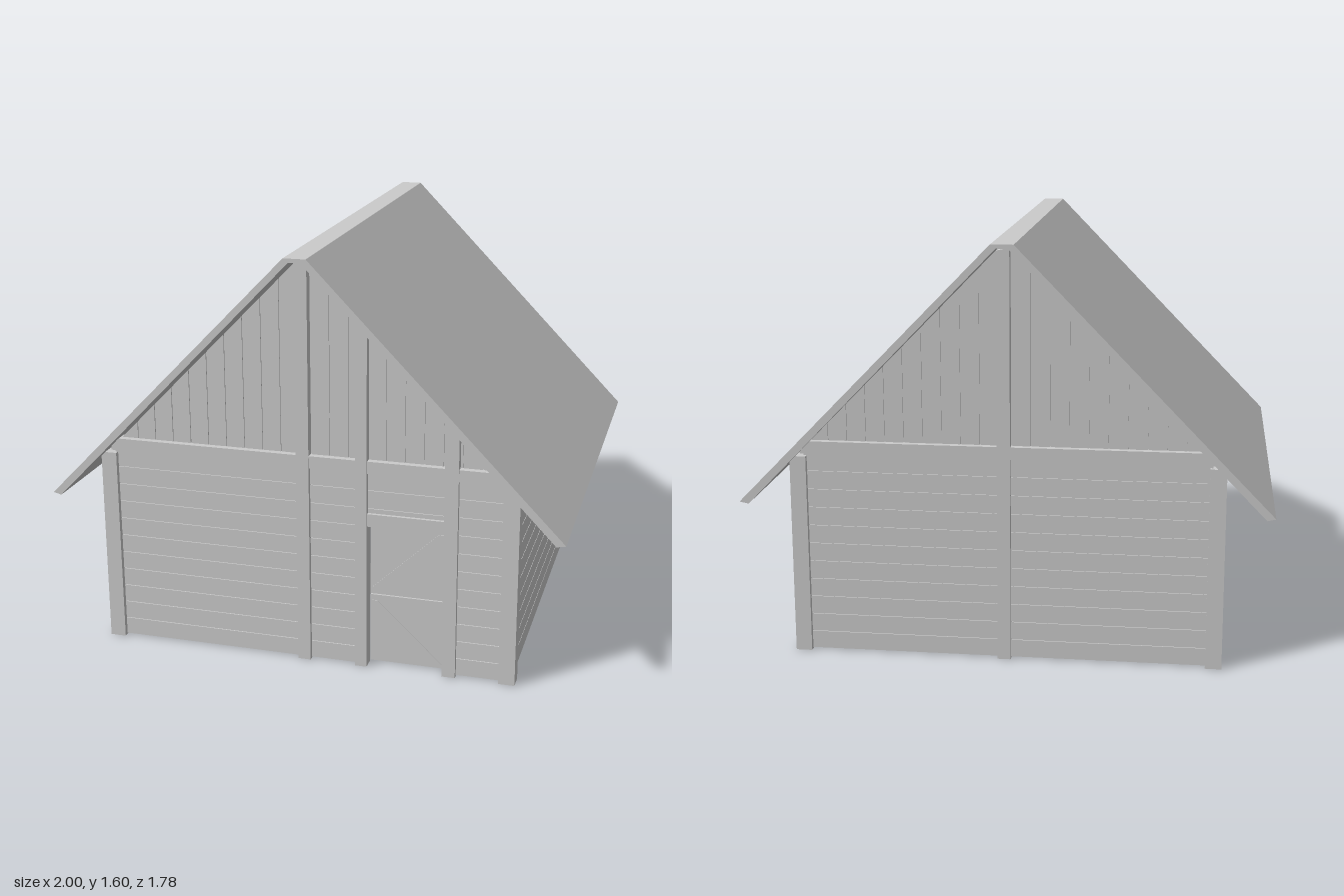
import * as THREE from 'three';

export function createModel() {
  const root = new THREE.Group();
  const mat = new THREE.MeshStandardMaterial({ color: 0xcccccc, flatShading: true });

  const add = (parent, name, geo) => {
    const mesh = new THREE.Mesh(geo, mat);
    mesh.name = name;
    parent.add(mesh);
    return mesh;
  };
  const group = (name) => {
    const g = new THREE.Group();
    g.name = name;
    root.add(g);
    return g;
  };
  // Box given by its two opposite corners
  const box = (parent, name, x0, x1, y0, y1, z0, z1) => {
    const m = add(parent, name, new THREE.BoxGeometry(x1 - x0, y1 - y0, z1 - z0));
    m.position.set((x0 + x1) / 2, (y0 + y1) / 2, (z0 + z1) / 2);
    return m;
  };
  // Outline in x, y extruded between two depths
  const prism = (parent, name, pts, z0, z1) => {
    const shape = new THREE.Shape(pts.map(([x, y]) => new THREE.Vector2(x, y)));
    const m = add(parent, name, new THREE.ExtrudeGeometry(shape, { depth: z1 - z0, bevelEnabled: false }));
    m.position.z = z0;
    return m;
  };
  // Height of the roof underside
  const roofY = (x) => Math.min(1.585, 1.6 - 1.026 * Math.abs(x));
  // Upright board cut to the slope of the roof
  const upright = (parent, name, x0, x1, y0, z0, z1) => {
    prism(parent, name, [[x0, y0], [x1, y0], [x1, roofY(x1)], [x0, roofY(x0)]], z0, z1);
  };

  const WALL_TOP = 0.79, ROW = 0.0718, GAP = 0.004;
  // Horizontal boarding: a core sheet with boards standing proud on both faces
  const boarding = (parent, x0, x1, y0, y1) => {
    box(parent, 'wallCore', x0, x1, y0, y1, 0.783, 0.797);
    for (let i = 0; i < 11; i++) {
      const a = Math.max(y0, 0.005 + i * ROW), b = Math.min(y1, 0.005 + (i + 1) * ROW - GAP);
      if (b - a > 0.005) box(parent, 'wallBoard', x0, x1, a, b, 0.778, 0.802);
    }
  };

  // Roof: two slopes joined by a narrow flat ridge
  prism(root, 'roof', [
    [-1, 0.62], [-0.968, 0.612], [-0.025, 1.585], [0.02, 1.585],
    [0.965, 0.608], [1, 0.615], [0.04, 1.6], [-0.045, 1.6],
  ], -0.89, 0.89);

  // Corner posts
  for (const sx of [-1, 1]) for (const sz of [-1, 1]) {
    const post = box(root, 'cornerPost', -0.031, 0.031, 0, 0.78, -0.031, 0.031);
    post.position.x = sx * 0.79;
    post.position.z = sz * 0.79;
  }

  // Side walls
  for (const s of [-1, 1]) {
    const wall = group(s > 0 ? 'leftWall' : 'rightWall');
    boarding(wall, -0.77, 0.77, 0.005, WALL_TOP);
    wall.rotation.y = s * Math.PI / 2;
  }

  // Gable boarding, tie beam and central post, shared by both ends
  const gableEnd = (parent) => {
    box(parent, 'tieBeam', -0.78, 0.78, WALL_TOP, 0.838, 0.765, 0.815);
    upright(parent, 'centralPost', -0.03, 0.02, 0, 0.765, 0.82);
    prism(parent, 'gableCore', [[-0.75, 0.83], [0.75, 0.83], [0.02, 1.58], [-0.02, 1.58]], 0.778, 0.784);
    for (const s of [-1, 1]) for (let i = 0; i < 10; i++) {
      const a = 0.025 + i * 0.0725, b = a + 0.0725 - GAP;
      upright(parent, 'gableBoard', s > 0 ? a : -b, s > 0 ? b : -a, 0.83, 0.772, 0.79);
    }
  };

  // Front wall with the doorway
  const front = group('frontWall');
  gableEnd(front);
  upright(front, 'doorPost', 0.2, 0.245, 0, 0.765, 0.82);
  upright(front, 'doorPost', 0.54, 0.592, 0, 0.765, 0.82);
  box(front, 'lintel', 0.24, 0.545, 0.58, 0.63, 0.765, 0.815);
  boarding(front, -0.77, -0.025, 0.005, WALL_TOP);
  boarding(front, 0.015, 0.205, 0.005, WALL_TOP);
  boarding(front, 0.585, 0.77, 0.005, WALL_TOP);
  boarding(front, 0.24, 0.545, 0.63, WALL_TOP);

  // Recessed door in two leaves, with thin diagonal braces and a knob
  const door = group('door');
  box(door, 'doorFrameTop', 0.245, 0.54, 0.565, 0.585, 0.755, 0.775);
  box(door, 'lowerLeaf', 0.247, 0.538, 0.005, 0.283, 0.752, 0.766);
  box(door, 'upperLeaf', 0.247, 0.538, 0.287, 0.563, 0.752, 0.766);
  prism(door, 'brace', [[0.255, 0.25], [0.51, 0.01], [0.53, 0.01], [0.53, 0.02], [0.275, 0.26], [0.255, 0.26]], 0.764, 0.769);
  prism(door, 'brace', [[0.255, 0.3], [0.275, 0.3], [0.53, 0.54], [0.53, 0.555], [0.51, 0.555], [0.255, 0.315]], 0.764, 0.769);
  const knob = add(door, 'knob', new THREE.CylinderGeometry(0.009, 0.009, 0.03, 8));
  knob.rotation.x = Math.PI / 2;
  knob.position.set(0.265, 0.275, 0.742);

  // Back wall
  const back = group('backWall');
  gableEnd(back);
  boarding(back, -0.77, -0.025, 0.005, WALL_TOP);
  boarding(back, 0.015, 0.77, 0.005, WALL_TOP);
  back.rotation.y = Math.PI;

  return root;
}
